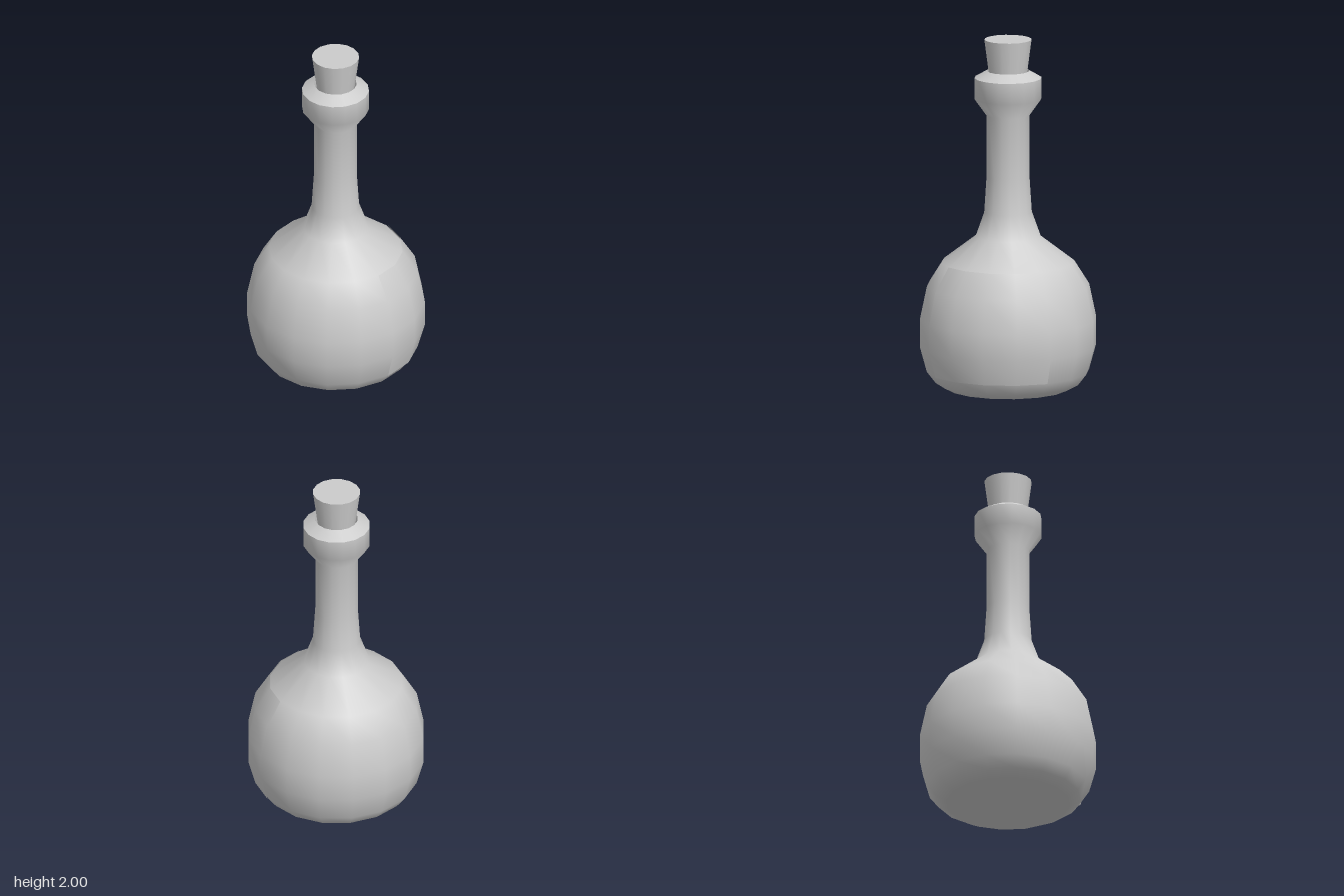
import * as THREE from 'three';

const SIDES = 16;
const material = new THREE.MeshStandardMaterial({ color: 0xcccccc, side: THREE.DoubleSide });

// Revolves [radius, height] pairs around the y axis
function lathe(name, profile, sides = SIDES, start = 0, sweep = Math.PI * 2) {
  const points = profile.map(([r, y]) => new THREE.Vector2(r, y));
  const mesh = new THREE.Mesh(new THREE.LatheGeometry(points, sides, start, sweep), material);
  mesh.name = name;
  return mesh;
}

export function createModel() {
  const group = new THREE.Group();
  group.name = 'corkedFlask';

  // Round belly profile shared by the bottle and its label
  const belly = [[0.46, 0.1], [0.5, 0.245], [0.5, 0.4], [0.46, 0.59], [0.375, 0.725]];

  // Base, belly, neck and collar in one smooth surface
  group.add(lathe('bottle', [
    [0, 0], [0.345, 0], [0.41, 0.035],
    ...belly,
    [0.185, 0.87], [0.135, 1.01], [0.122, 1.21], [0.122, 1.565],
    [0.19, 1.66], [0.19, 1.78],
  ]));

  // Sloping rim and the inside of the mouth, with sharp edges between them
  group.add(lathe('rim', [[0.19, 1.78], [0.12, 1.82]]));
  group.add(lathe('mouth', [[0.12, 1.82], [0.11, 1.7]]));

  // Thin label wrapped over a quarter of the belly
  group.add(lathe('label', belly.map(([r, y]) => [r + 0.006, y]), SIDES / 4, 0, Math.PI / 2));

  // Tapered cork
  const cork = new THREE.Mesh(new THREE.CylinderGeometry(0.134, 0.095, 0.3, SIDES), material);
  cork.name = 'cork';
  cork.position.y = 1.85;
  group.add(cork);

  // Centre the whole, allowing for the label's thickness
  group.position.set(-0.003, 0, -0.003);
  const root = new THREE.Group();
  root.add(group);
  return root;
}
